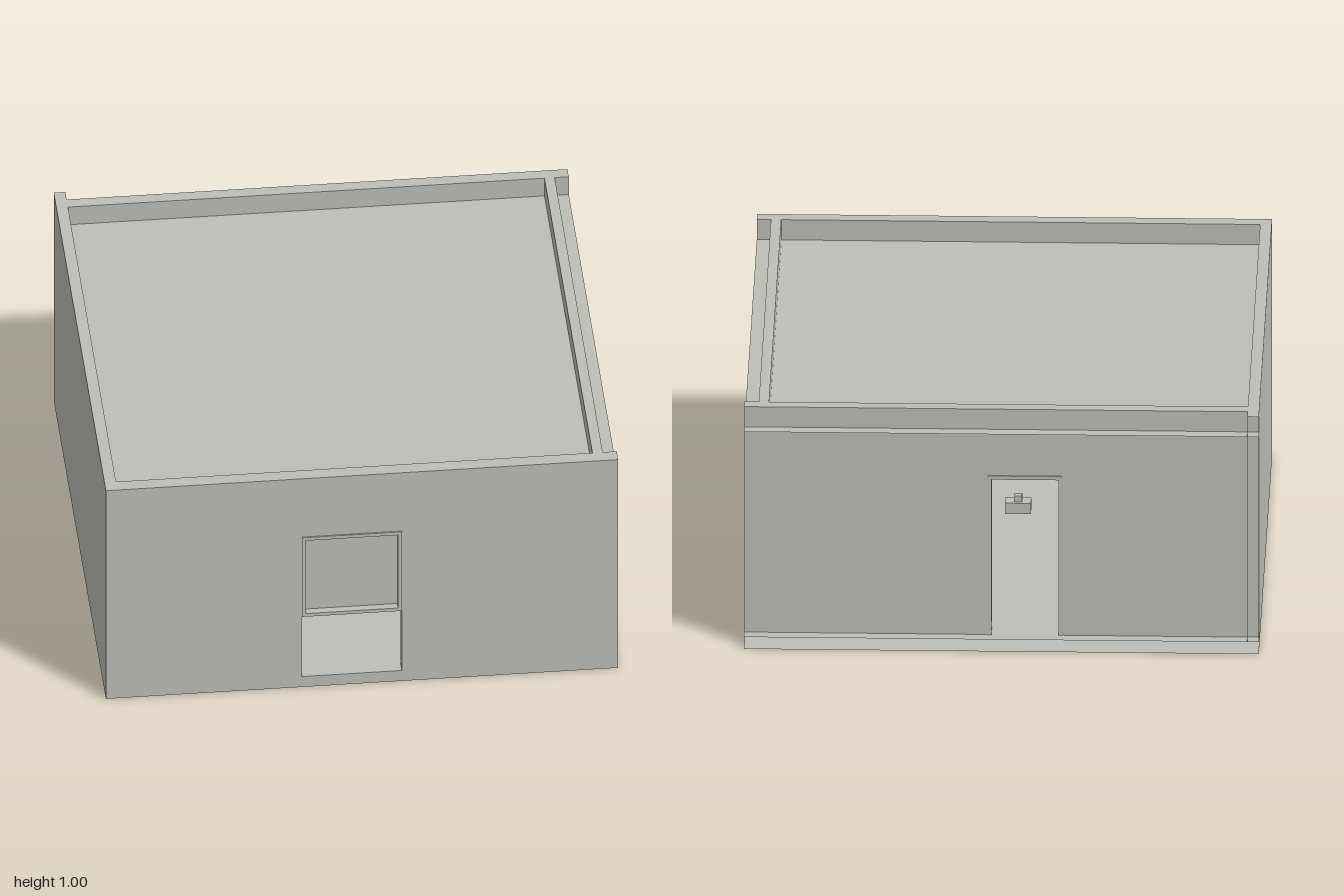
import * as THREE from 'three';

export function createModel() {
  const model = new THREE.Group();
  const plaster = new THREE.MeshStandardMaterial({ color: 0xbfbfba, side: THREE.DoubleSide });
  plaster.name = 'pale grey plaster';

  const L = -1, R = 1, F = 0.985, B = -0.99;          // outer limits
  const floorY = 0.05, roofY = 0.915, topY = 1;

  const add = (name, geometry) => {
    const mesh = new THREE.Mesh(geometry, plaster);
    mesh.name = name;
    model.add(mesh);
    return mesh;
  };
  const trace = (path, [x0, x1, y0, y1]) =>
    path.moveTo(x0, y0).lineTo(x1, y0).lineTo(x1, y1).lineTo(x0, y1).closePath();
  const rect = (area, hole) => {
    const shape = trace(new THREE.Shape(), area);
    if (hole) shape.holes.push(trace(new THREE.Path(), hole));
    return shape;
  };

  // Thin sheets: facing z, facing x and level
  const sheetZ = (name, z, area, hole) =>
    add(name, new THREE.ShapeGeometry(rect(area, hole)).translate(0, 0, z));
  const sheetX = (name, x, z0, z1, y0, y1) =>
    add(name, new THREE.ShapeGeometry(rect([-z1, -z0, y0, y1])).rotateY(Math.PI / 2).translate(x, 0, 0));
  const sheetY = (name, y, x0, x1, z0, z1) =>
    add(name, new THREE.ShapeGeometry(rect([x0, x1, -z1, -z0])).rotateX(-Math.PI / 2).translate(0, y, 0));
  const box = (name, x0, x1, y0, y1, z0, z1) =>
    add(name, new THREE.BoxGeometry(x1 - x0, y1 - y0, z1 - z0)
      .translate((x0 + x1) / 2, (y0 + y1) / 2, (z0 + z1) / 2));

  // Floor and roof run the full plan, past the recessed walls
  sheetY('floorUnderside', 0, L, R, B, F);
  sheetY('floor', floorY, L, R, B, F);
  sheetY('roof', roofY, L, R, B, F);

  // Hollow walls, each an outer and an inner sheet
  const frontHole = [-0.235, 0.155, floorY, 0.72];
  const backHole = [-0.235, 0.055, floorY, 0.72];
  const zLeft = -0.955, xIn = 0.905, xOut = 0.945, zFrontIn = 0.93, zBackIn = -0.89, zBackOut = -0.94;
  sheetZ('frontWallOuter', F, [L, R, 0, topY], frontHole);
  sheetZ('frontWallInner', zFrontIn, [L, R, floorY, topY], frontHole);
  sheetZ('backWallOuter', zBackOut, [L, R, floorY, topY], backHole);
  sheetZ('backWallInner', zBackIn, [L, R, floorY, topY], backHole);
  sheetX('leftWallOuter', L, B, F, 0, topY);
  sheetX('leftWallInner', zLeft, B, F, floorY, topY);
  sheetX('rightWallOuter', xOut, zBackOut, F, floorY, topY);
  sheetX('rightWallInner', xIn, zBackIn, zFrontIn, floorY, topY);

  // Parapet caps
  sheetY('frontCap', topY, L, R, zFrontIn, F);
  sheetY('leftCap', topY, L, zLeft, B, zFrontIn);
  sheetY('backCap', topY, zLeft, R, zBackOut, zBackIn);
  sheetY('rightCap', topY, xIn, xOut, zBackIn, zFrontIn);

  // Window frame and recessed pane over the open front hatch
  add('windowFrame', new THREE.ExtrudeGeometry(
    rect([-0.235, 0.155, 0.34, 0.72], [-0.22, 0.14, 0.355, 0.705]),
    { depth: 0.065, bevelEnabled: false }).translate(0, 0, 0.925));
  box('windowPane', -0.22, 0.14, 0.355, 0.705, 0.95, 0.96);
  for (const x of [-0.235, 0.155]) sheetX('hatchJamb', x, zFrontIn, F, floorY, 0.34);

  // Back door frame: two jambs and a lintel
  for (const x of [-0.235, 0.04]) box('doorJamb', x, x + 0.015, floorY, 0.705, -0.945, -0.885);
  box('doorLintel', -0.235, 0.055, 0.705, 0.72, -0.945, -0.885);

  // Small fitting inside the room
  box('fittingBody', -0.09, 0.01, 0.175, 0.22, -0.03, 0.03);
  box('fittingKnob', -0.055, -0.025, 0.22, 0.245, -0.015, 0.015);

  return model;
}
